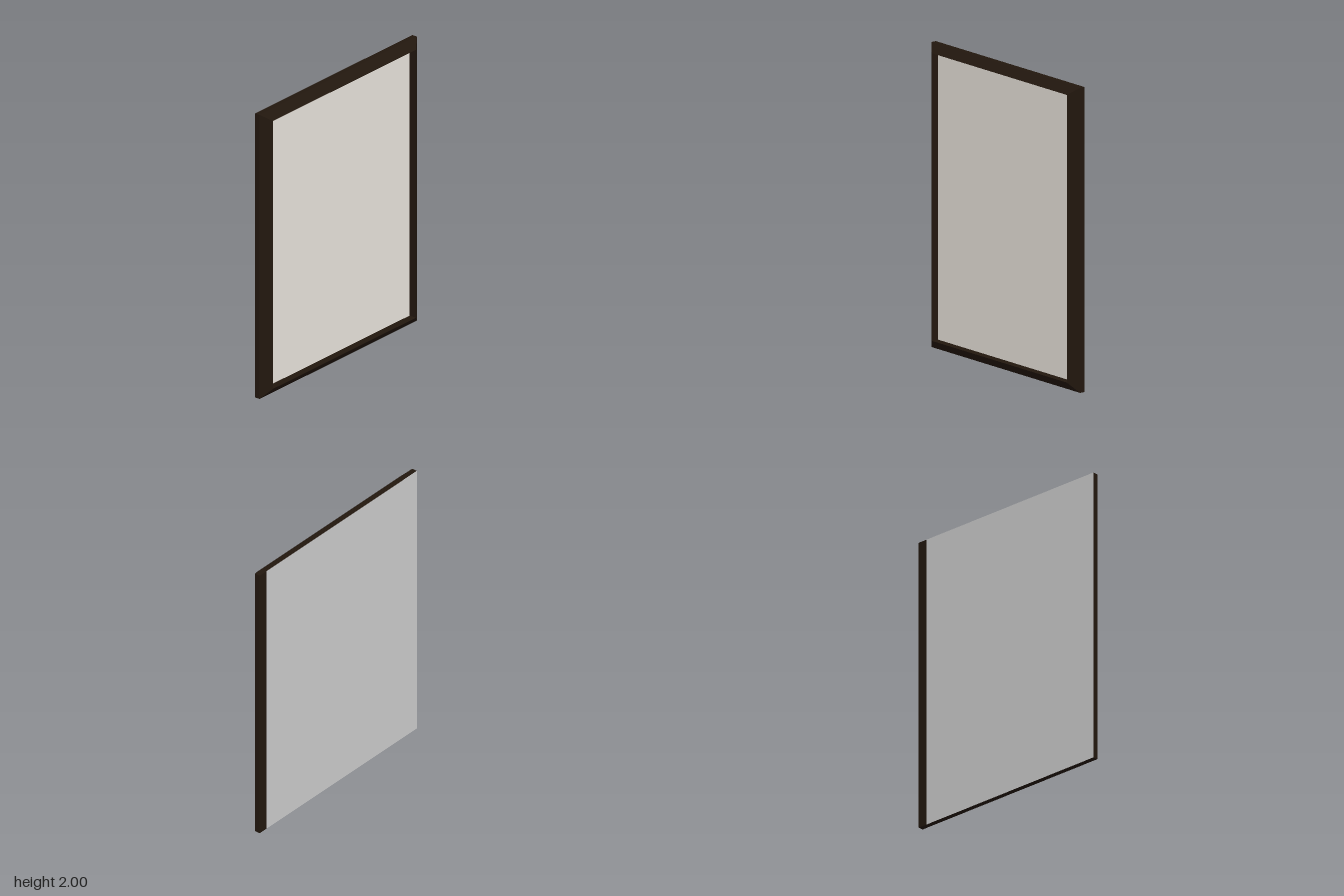
import * as THREE from 'three';

const FRAME_COLOR = 0x22170e;

// Rectangular cross-section at depth x, corners counter-clockwise seen from +x
const ring = (x, bottom, top, zMax, zMin = -zMax) => [
  [x, bottom, zMax], [x, bottom, zMin], [x, top, zMin], [x, top, zMax],
];

// Non-indexed quads, so every face keeps a crisp flat normal
function quadMesh(name, quads, color) {
  const positions = quads.flatMap(([a, b, c, d]) => [a, b, c, a, c, d].flat());
  const geometry = new THREE.BufferGeometry();
  geometry.setAttribute('position', new THREE.Float32BufferAttribute(positions, 3));
  geometry.computeVertexNormals();
  const material = new THREE.MeshStandardMaterial({ color, flatShading: true });
  const mesh = new THREE.Mesh(geometry, material);
  mesh.name = name;
  return mesh;
}

export function createModel() {
  const group = new THREE.Group();
  group.name = 'framedPanel';

  const back = ring(-0.045, 0, 2, 0.767);
  const shoulder = ring(-0.008, 0, 2, 0.767);
  const ridge = ring(0.044, 0.062, 1.948, 0.696);
  const recess = ring(-0.007, 0.062, 1.948, 0.696);

  // Four mitred rails: outer edge, bevel up to a ridge, inner wall down to the panel
  const sides = ['bottomRail', 'rightRail', 'topRail', 'leftRail'];
  const frame = new THREE.Group();
  frame.name = 'frame';
  sides.forEach((name, i) => {
    const j = (i + 1) % 4;
    const quads = [[back, shoulder], [shoulder, ridge], [ridge, recess]].map(
      ([p, q]) => [p[i], p[j], q[j], q[i]]);
    frame.add(quadMesh(name, quads, FRAME_COLOR));
  });
  group.add(frame);

  // Flat panel sunk behind the ridge
  group.add(quadMesh('panel', [recess], 0xe9e4dc));

  // Plain backing on the -x face, with one rail showing along its -z edge
  const backing = ring(-0.045, 0, 2, 0.767, -0.7).reverse();
  const backStrip = ring(-0.045, 0, 2, -0.7, -0.767).reverse();
  group.add(quadMesh('backing', [backing], 0xcccccc));
  group.add(quadMesh('backStrip', [backStrip], FRAME_COLOR));

  return group;
}
